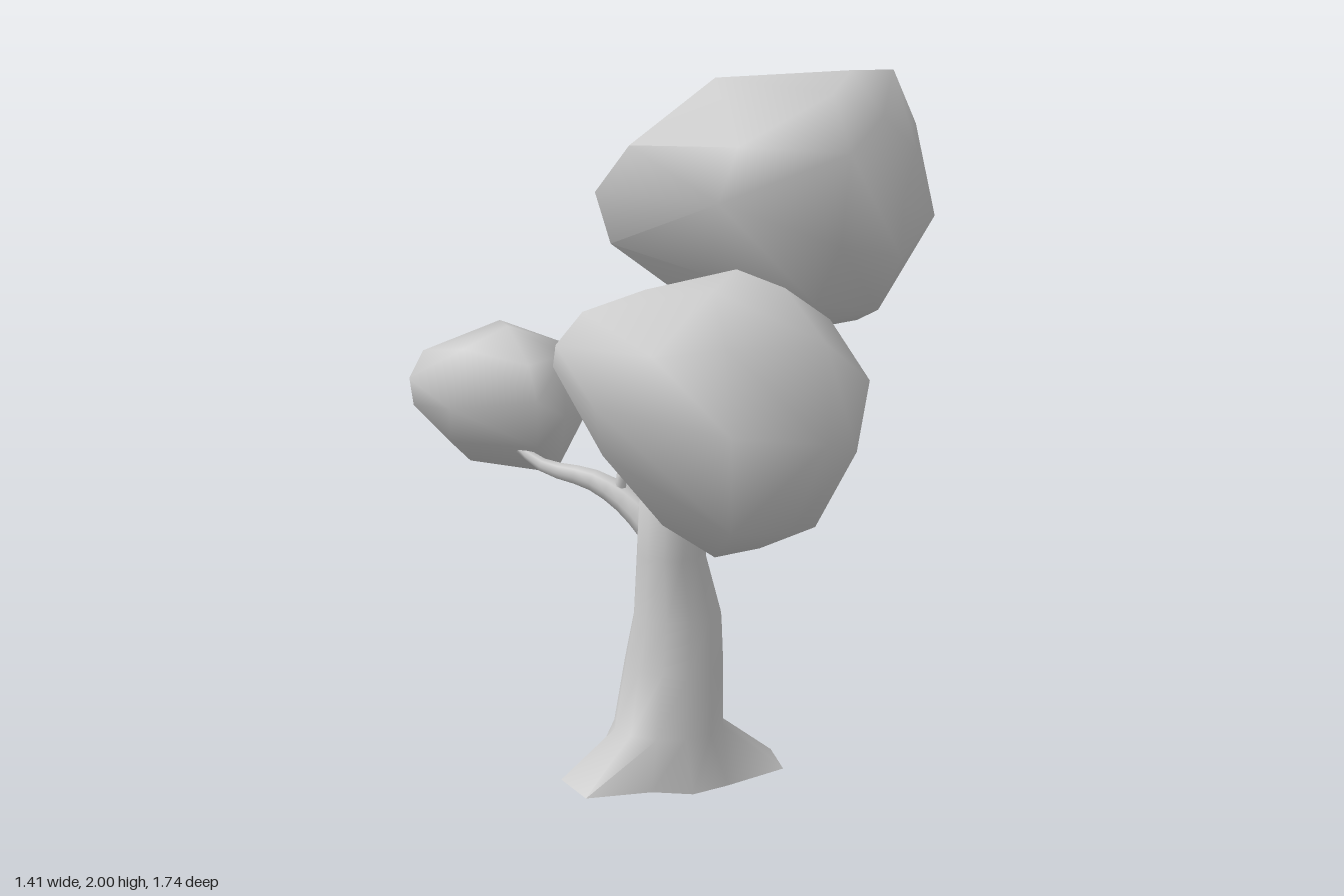
import * as THREE from 'three';
import { ConvexGeometry } from 'three/addons/geometries/ConvexGeometry.js';
import { toCreasedNormals } from 'three/addons/utils/BufferGeometryUtils.js';

const material = new THREE.MeshStandardMaterial({ color: 0xcccccc, side: THREE.DoubleSide });

function addMesh(group, name, geometry) {
  const mesh = new THREE.Mesh(toCreasedNormals(geometry, 1.35), material);
  mesh.name = name;
  group.add(mesh);
}

// Leaf clump: hull around its corner points [x, y, z]
function clump(group, name, corners) {
  addMesh(group, name, new ConvexGeometry(corners.map((c) => new THREE.Vector3(...c))));
}

// Branch: tube along points [x, y, z], tapering from r0 to r1
function branch(group, name, path, r0, r1, segments = 8, sides = 7) {
  const curve = new THREE.CatmullRomCurve3(path.map((p) => new THREE.Vector3(...p)));
  const geo = new THREE.TubeGeometry(curve, segments, 1, sides);
  const pos = geo.attributes.position;
  const v = new THREE.Vector3();
  for (let i = 0; i < pos.count; i++) {
    const u = Math.floor(i / (sides + 1)) / segments;
    const centre = curve.getPointAt(u);
    v.fromBufferAttribute(pos, i).sub(centre).multiplyScalar(r0 + (r1 - r0) * u).add(centre);
    pos.setXYZ(i, v.x, v.y, v.z);
  }
  addMesh(group, name, geo);
}

// Trunk: rings from the ground up, open below, the lowest spread into roots
function trunk(group) {
  // [y, centre x, centre z, radius x, radius z]
  const rings = [
    [0, -0.07, -0.12, 1, 1], [0.15, -0.08, -0.08, 0.16, 0.16], [0.33, -0.06, -0.09, 0.145, 0.14],
    [0.47, -0.05, -0.085, 0.13, 0.115], [0.65, -0.07, -0.08, 0.1, 0.1], [0.8, -0.06, -0.078, 0.105, 0.095],
    [1.0, 0.01, -0.085, 0.08, 0.07], [1.25, 0.11, -0.085, 0.055, 0.047], [1.4, 0.15, -0.09, 0.04, 0.035],
  ];
  // root reach every 30 degrees, from +x round through +z
  const roots = [0.32, 0.34, 0.23, 0.235, 0.21, 0.34, 0.32, 0.22, 0.21, 0.28, 0.29, 0.22];
  const rows = rings.length - 1;
  const geo = new THREE.CylinderGeometry(1, 1, 1, 12, rows, true);
  const pos = geo.attributes.position;
  for (let i = 0; i < pos.count; i++) {
    const x = pos.getX(i), z = pos.getZ(i);
    const row = Math.round((pos.getY(i) + 0.5) * rows);
    const [y, cx, cz, rx, rz] = rings[row];
    const k = (Math.round(Math.atan2(z, x) / (Math.PI / 6)) + 12) % 12;
    const reach = row === 0 ? roots[k] : 1;
    const lift = row === 0 && (k < 2 || k === 9 || k === 10) ? 0.02 : 0;
    pos.setXYZ(i, cx + x * rx * reach, y + lift, cz + z * rz * reach);
  }
  addMesh(group, 'trunk', geo);
}

export function createModel() {
  const tree = new THREE.Group();
  tree.name = 'tree';
  trunk(tree);

  // Branches
  branch(tree, 'backBranch', [[-0.08, 0.68, -0.1], [-0.16, 0.78, -0.19], [-0.24, 0.835, -0.27],
    [-0.36, 0.865, -0.38], [-0.43, 0.92, -0.46]], 0.052, 0.012, 10);
  branch(tree, 'backTwig', [[-0.18, 0.79, -0.21], [-0.18, 0.87, -0.2], [-0.17, 0.91, -0.22],
    [-0.17, 0.96, -0.215]], 0.02, 0.004);
  branch(tree, 'frontBranch', [[-0.08, 0.76, -0.04], [-0.08, 0.83, 0.04], [-0.08, 0.89, 0.115],
    [-0.08, 0.868, 0.16], [-0.08, 0.865, 0.24], [-0.08, 0.93, 0.285], [-0.08, 1.0, 0.33]], 0.055, 0.008, 12);
  branch(tree, 'leftBranch', [[0.02, 0.96, -0.09], [0.13, 1.04, -0.11], [0.21, 1.13, -0.14],
    [0.29, 1.25, -0.165], [0.34, 1.36, -0.18]], 0.042, 0.005);
  branch(tree, 'topTwig', [[0.12, 1.3, -0.09], [0.02, 1.28, -0.1], [-0.04, 1.3, -0.1],
    [-0.05, 1.36, -0.1], [-0.04, 1.45, -0.1]], 0.016, 0.008);

  // Leaf clumps
  clump(tree, 'topFoliage', [
    [-0.265, 1.67, -0.15], [-0.23, 1.53, -0.12], [-0.19, 1.8, -0.07], [-0.08, 1.62, -0.38], [-0.02, 1.91, -0.05],
    [0.705, 1.59, -0.03], [0.65, 1.85, -0.05], [0.59, 1.36, -0.1], [0.29, 1.79, 0.34], [0.29, 1.54, 0.28],
    [0.25, 1.38, 0.2], [0.3, 1.94, 0.19], [0.27, 1.46, -0.6], [0.27, 1.62, -0.58], [0.54, 1.48, -0.48],
    [0.38, 1.34, -0.46], [0.3, 1.81, -0.48], [0.22, 1.97, -0.35], [0.05, 1.98, -0.05], [0.57, 2.0, -0.03],
    [0.4, 2.0, 0.07], [0.17, 1.24, -0.14], [0.25, 1.25, -0.29], [0.44, 1.29, -0.1], [0.49, 1.65, 0.23],
    [0, 1.65, 0.12], [0.46, 1.35, 0.14], [0.44, 1.31, 0.04], [0.62, 1.45, -0.25], [0.6, 1.78, 0.07],
    [0.45, 1.88, 0.18], [0.05, 1.8, 0.14], [0.02, 1.53, -0.4], [0, 1.45, 0.05], [0, 1.82, -0.33],
    [0.48, 1.96, -0.3], [0.55, 1.8, -0.37], [0.5, 1.5, 0.2],
  ]);
  clump(tree, 'frontFoliage', [
    [-0.54, 1.34, 0.45], [-0.47, 1.42, 0.45], [-0.52, 1.27, 0.345], [-0.43, 1.06, 0.48], [-0.31, 1.47, 0.46],
    [-0.03, 1.5, 0.35], [0.07, 1.46, 0.3], [-0.2, 1.485, 0.655], [0.0, 1.48, 0.62], [0.17, 1.38, 0.5],
    [0.2, 1.25, 0.69], [0.22, 1.01, 0.505], [0.14, 0.89, 0.5], [-0.01, 0.79, 0.48], [-0.12, 0.765, 0.44],
    [-0.28, 0.875, 0.5], [0.02, 1.13, 0.865], [0.11, 1.1, 0.825], [-0.21, 1.15, 0.82], [-0.21, 1.36, 0.77],
    [0.05, 1.36, 0.77], [-0.05, 0.9, 0.79], [-0.26, 1.25, 0.18], [-0.06, 1.31, 0.14], [0.04, 1.13, 0.15],
    [0.19, 1.2, 0.3], [-0.05, 0.945, 0.24], [-0.48, 1.2, 0.58], [-0.2, 0.91, 0.79], [0.07, 0.88, 0.66],
    [-0.36, 1.33, 0.67], [-0.38, 1.06, 0.36], [0.15, 1.03, 0.27], [-0.33, 1.37, 0.28], [-0.22, 0.97, 0.28],
  ]);
  clump(tree, 'backFoliage', [
    [-0.71, 1.11, -0.585], [-0.7, 1.03, -0.58], [-0.655, 1.18, -0.65], [-0.565, 1.2, -0.5], [-0.6, 0.92, -0.55],
    [-0.53, 0.85, -0.6], [-0.31, 0.82, -0.5], [-0.39, 1.06, -0.335], [-0.4, 1.16, -0.39], [-0.38, 0.92, -0.375],
    [-0.42, 1.255, -0.555], [-0.42, 1.26, -0.655], [-0.44, 1.03, -0.87], [-0.42, 1.13, -0.82], [-0.42, 0.9, -0.78],
    [-0.29, 1.03, -0.81], [-0.19, 1.06, -0.59], [-0.19, 0.98, -0.54], [-0.29, 1.0, -0.4], [-0.25, 1.2, -0.5],
    [-0.615, 1.03, -0.48], [-0.65, 1.04, -0.7], [-0.35, 0.865, -0.72], [-0.28, 1.18, -0.43], [-0.52, 0.88, -0.7],
    [-0.29, 0.84, -0.48],
  ]);
  return tree;
}
